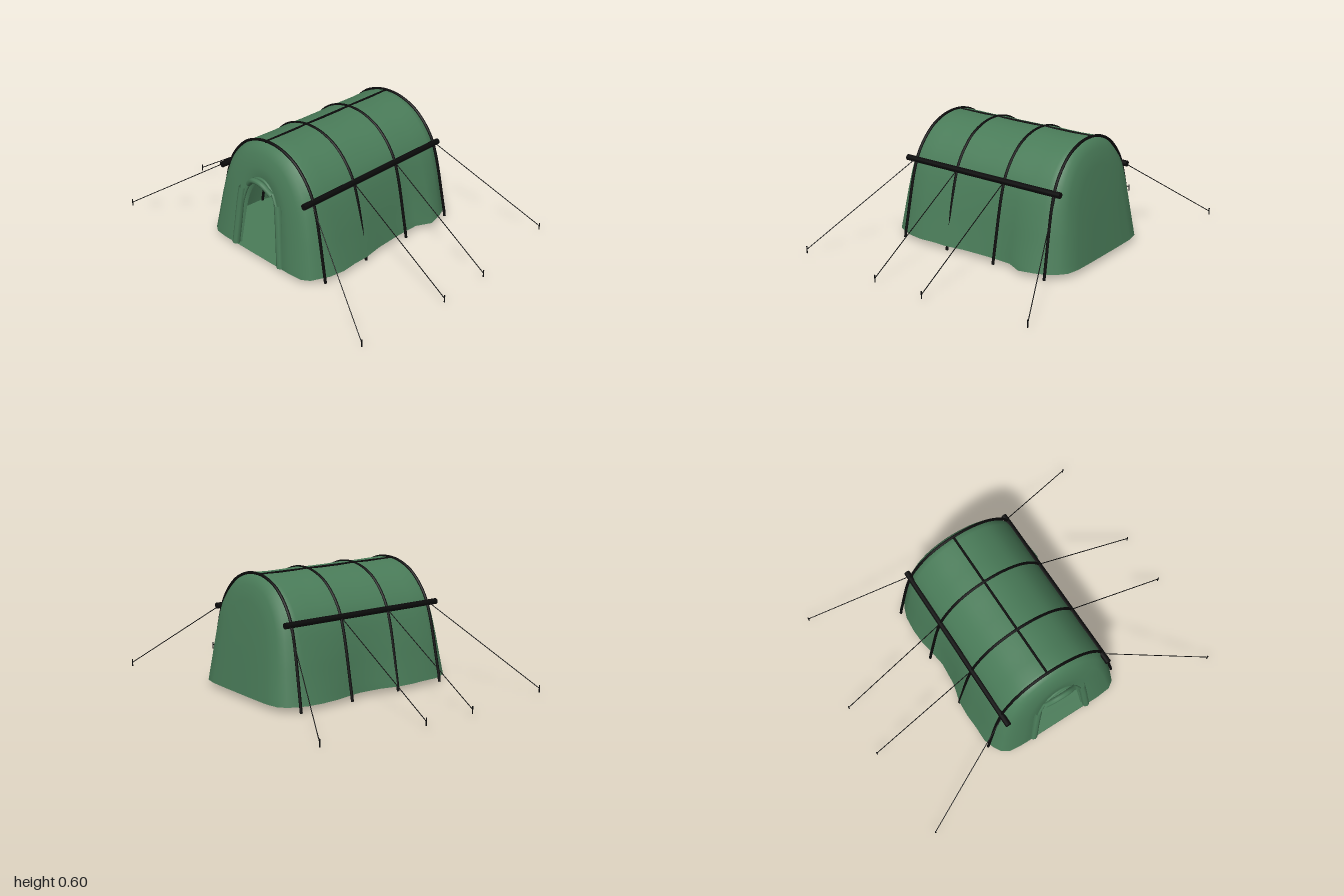
import * as THREE from 'three';

const green = new THREE.MeshStandardMaterial({ color: 0x4a7c59, side: THREE.DoubleSide });
const black = new THREE.MeshStandardMaterial({ color: 0x0a0a0a });
const BASE = 0.035, TOP = 0.6;
const V = (x, y, z) => new THREE.Vector3(x, y, z);

// Arched cross-section, from the front hem over the ridge to the back hem
const half = [[0.37, BASE], [0.347, 0.15], [0.325, 0.26], [0.287, 0.4], [0.245, 0.475], [0.17, 0.55], [0.08, 0.59]];
const arch = new THREE.CatmullRomCurve3([
  ...half.map(([w, y]) => V(0, y, w)), V(0, TOP, 0), ...half.map(([w, y]) => V(0, y, -w)).reverse(),
]);
const profile = arch.getPoints(44);

// Rings along the length: position, width scale, height scale, front and back hem bulge
const rings = [
  [-0.495, 0.38, 0.66, 0, 0], [-0.52, 0.42, 0.70, 0, 0], [-0.522, 0.62, 0.80, 0, 0],
  [-0.515, 0.82, 0.91, 0, 0], [-0.49, 0.92, 0.965, 0, 0], [-0.45, 0.98, 0.99, -0.005, 0],
  [-0.40, 1, 1, 0.01, 0.01], [-0.32, 1, 0.998, 0.022, 0.01], [-0.24, 1, 0.995, 0.015, 0.014],
  [-0.16, 1, 1, 0.016, 0.01], [-0.06, 1, 0.994, 0, -0.016], [0.06, 1, 0.994, -0.006, -0.024],
  [0.14, 1, 1, -0.008, -0.012], [0.22, 1, 0.996, -0.005, 0.002], [0.30, 1, 0.995, 0.034, 0.006],
  [0.38, 1, 1, 0.014, 0], [0.43, 0.98, 0.995, 0, -0.01], [0.475, 0.92, 0.97, -0.01, -0.01],
  [0.505, 0.82, 0.91, -0.01, -0.01], [0.518, 0.62, 0.78, 0, 0], [0.52, 0.3, 0.4, 0, 0], [0.52, 0.001, 0.001, 0, 0],
];

function ringPoints([u, sx, sy, front, back]) {
  return profile.map((p) => {
    const low = 1 - Math.min(1, (p.y - BASE) / 0.4);
    const y = BASE + (p.y - BASE) * sy;
    const w = p.z * sx + (p.z > 0 ? front : -back) * low;
    // End walls lean inwards with height
    const lean = THREE.MathUtils.clamp((Math.abs(u) - 0.38) / 0.12, 0, 1);
    return V(u * (1 - 0.13 * lean * (y - BASE) / (TOP - BASE)), y, w);
  });
}

// Surface through rows of points
function skin(rows) {
  const n = rows[0].length, index = [];
  for (let j = 0; j < rows.length - 1; j++) {
    for (let i = 0; i < n - 1; i++) {
      const a = j * n + i, b = a + n;
      index.push(a, b, a + 1, b, b + 1, a + 1);
    }
  }
  const geo = new THREE.BufferGeometry().setFromPoints(rows.flat());
  geo.setIndex(index);
  geo.computeVertexNormals();
  return geo;
}

export function createModel() {
  const tent = new THREE.Group();
  tent.name = 'tent';
  const add = (name, geo, mat) => {
    const mesh = new THREE.Mesh(geo, mat);
    mesh.name = name;
    tent.add(mesh);
    return mesh;
  };
  const tube = (name, points, r, mat = black, seg = 60) =>
    add(name, new THREE.TubeGeometry(new THREE.CatmullRomCurve3(points), seg, r, 8), mat);
  const rod = (name, a, b, r, sides = 6) => {
    const mesh = add(name, new THREE.CylinderGeometry(r, r, a.distanceTo(b), sides), black);
    mesh.position.copy(a).lerp(b, 0.5);
    mesh.quaternion.setFromUnitVectors(V(0, 1, 0), b.clone().sub(a).normalize());
  };

  // Canvas shell with an open doorway at the left end, and its floor
  const rows = rings.map(ringPoints);
  add('canvas', skin(rows), green);
  add('floor', skin(rows.map((r) => [r[r.length - 1], r[0]])), green);

  // Door hem and the curtains tied back at each side
  const doorway = rows[1];
  tube('doorHem', doorway.filter((_, i) => i % 4 === 0), 0.008, green);
  for (const s of [-1, 1]) {
    const curtain = [[0.16, BASE], [0.148, 0.15], [0.138, 0.25], [0.125, 0.35]]
      .map(([w, y]) => V(-0.518 + y * 0.085, y, s * w));
    tube('doorCurtain', curtain, 0.019, green, 16);
  }
  // Rolled-up door flap above the opening
  tube('doorRoll', [V(-0.487, 0.385, -0.08), V(-0.5, 0.425, -0.03), V(-0.5, 0.425, 0.03), V(-0.487, 0.385, 0.08)], 0.014, green, 16);

  // Four hoops over the canvas
  const hoops = [-0.43, -0.155, 0.132, 0.43];
  for (const u of hoops) {
    const pts = profile.filter((_, i) => i % 2 === 0).map((p) => {
      const h = (p.y - BASE) / (TOP - BASE);
      return V(u * (Math.abs(u) > 0.4 ? 1 - 0.045 * h : 1), p.y, p.z * 1.012);
    });
    tube('hoop', [V(u, 0.012, 0.378), ...pts, V(u, 0.012, -0.378)], 0.007);
  }

  // Ridge cord and the two side rails
  rod('ridgeCord', V(-0.417, 0.598, -0.03), V(0.41, 0.598, -0.03), 0.006, 8);
  for (const s of [-1, 1]) rod('sideRail', V(-0.478, 0.403, s * 0.287), V(0.452, 0.403, s * 0.287), 0.015, 12);

  // Guy ropes and pegs
  const pegs = [[-0.657, 0.829], [-0.161, 0.87], [0.122, 0.87], [0.655, 0.807]];
  for (const s of [-1, 1]) {
    pegs.forEach(([u, w], i) => {
      const end = V(u, 0.04, s * w);
      rod('guyRope', V(hoops[i], 0.4, s * 0.295), end, 0.0022);
      rod('peg', V(u, 0.02, s * w), V(u, 0.056, s * w), 0.003);
    });
  }

  // The tent stands turned on its ground
  tent.rotation.y = THREE.MathUtils.degToRad(20);
  const model = new THREE.Group();
  model.add(tent);
  return model;
}
